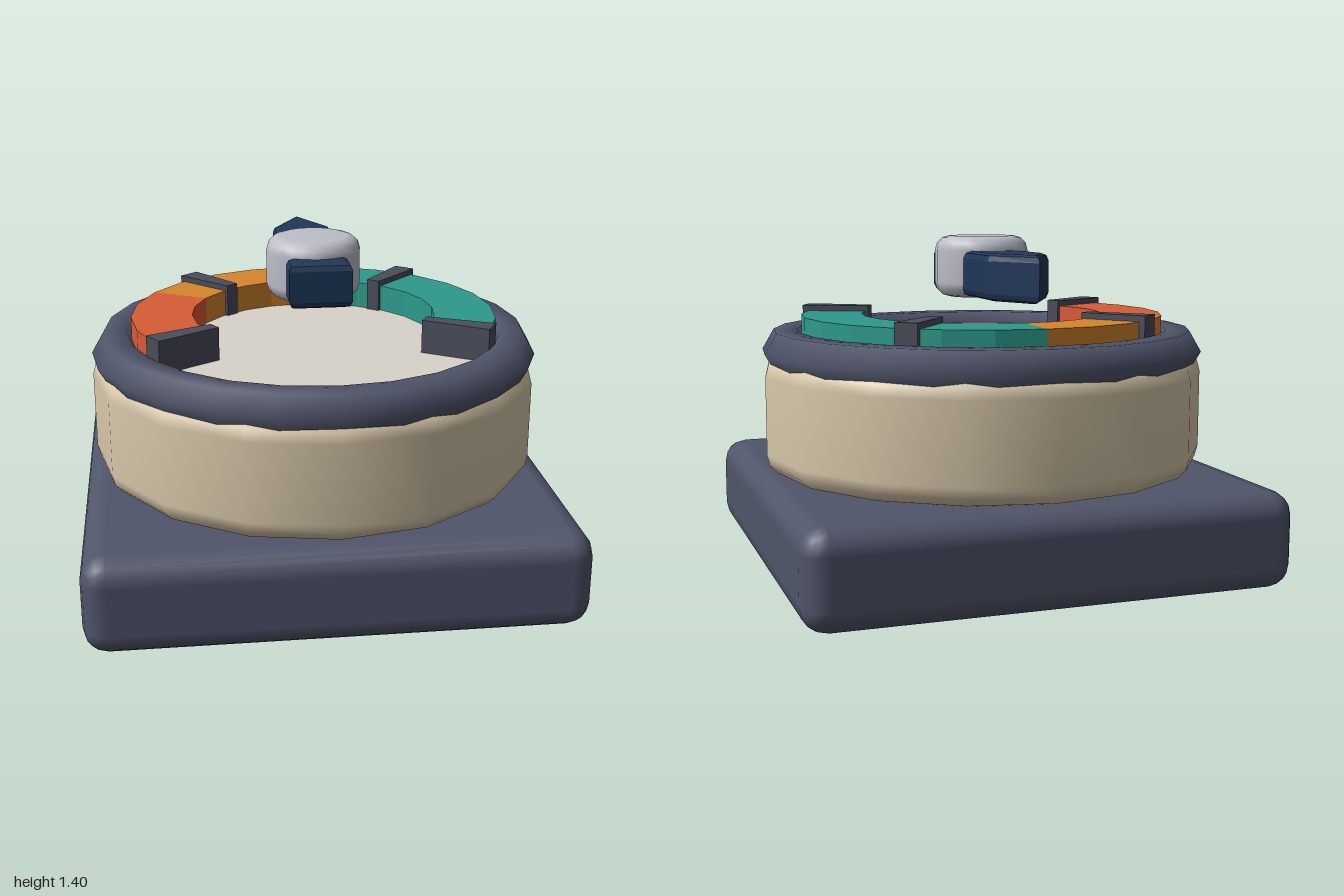
import * as THREE from 'three';
import { RoundedBoxGeometry } from 'three/addons/geometries/RoundedBoxGeometry.js';

const material = (name, color) => {
  const m = new THREE.MeshStandardMaterial({ color });
  m.name = name;
  return m;
};

// Lathe solid with rounded top and bottom rims
function roundedDisc(radius, y0, y1, bevel, sides) {
  const pts = [new THREE.Vector2(0.0001, y0)];
  for (const [cy, start] of [[y0 + bevel, -90], [y1 - bevel, 0]]) {
    for (let i = 0; i <= 3; i++) {
      const a = THREE.MathUtils.degToRad(start + i * 30);
      pts.push(new THREE.Vector2(radius - bevel + bevel * Math.cos(a), cy + bevel * Math.sin(a)));
    }
  }
  pts.push(new THREE.Vector2(0.0001, y1));
  return new THREE.LatheGeometry(pts, sides);
}

// Raised ring sector; angles in degrees, clockwise from the back (-z)
function sector(inner, outer, from, to, y0, y1, steps) {
  const point = (r, t) => {
    const a = THREE.MathUtils.degToRad(from + (to - from) * t);
    return new THREE.Vector2(r * Math.sin(a), r * Math.cos(a));
  };
  const pts = [];
  for (let i = 0; i <= steps; i++) pts.push(point(outer, i / steps));
  for (let i = steps; i >= 0; i--) pts.push(point(inner, i / steps));
  const g = new THREE.ExtrudeGeometry(new THREE.Shape(pts), { depth: y1 - y0, bevelEnabled: false });
  return g.rotateX(-Math.PI / 2).translate(0, y0, 0);
}

export function createModel() {
  const slate = material('slate', 0x50556a);
  const cream = material('cream', 0xd8c8aa);
  const ivory = material('ivory', 0xd8d4ca);
  const charcoal = material('charcoal', 0x4a4d5b);
  const teal = material('teal', 0x2d9a8a);
  const orange = material('orange', 0xd6862c);
  const red = material('red', 0xd75c36);
  const navy = material('navy', 0x1f3757);
  const silver = material('silver', 0xbcbec9);

  const model = new THREE.Group();
  model.name = 'dialGauge';
  const add = (name, geometry, mat, y = 0) => {
    const mesh = new THREE.Mesh(geometry, mat);
    mesh.name = name;
    mesh.position.y = y;
    model.add(mesh);
    return mesh;
  };

  // Square foot, round drum and face
  add('base', new RoundedBoxGeometry(2, 0.4, 2, 2, 0.1), slate, 0.2);
  add('drum', roundedDisc(0.95, 0.4, 0.91, 0.09, 16), cream);
  add('dialFace', new THREE.CylinderGeometry(0.8, 0.8, 0.06, 24), ivory, 0.92);

  // Six-sided bezel ring
  add('bezel', new THREE.TorusGeometry(0.85, 0.1, 6, 24).rotateX(Math.PI / 2), slate, 0.915);

  // Coloured scale bands
  add('greenBand', sector(0.52, 0.78, 0, 120, 0.95, 1.065, 8), teal);
  add('orangeBand', sector(0.52, 0.78, -60, 0, 0.95, 1.065, 4), orange);
  add('redBand', sector(0.52, 0.78, -120, -60, 0.95, 1.065, 4), red);

  // Tapered tick marks
  for (const a of [-120, -40, 40, 120]) {
    add('tickMark', sector(0.505, 0.8, a - 3.5, a + 3.5, 0.95, 1.09, 1), charcoal);
  }

  // Pointer with bevelled edges, tip towards the back
  const bevel = 0.03;
  const outline = new THREE.Shape([
    [-0.1, -0.25], [0.1, -0.25], [0.1, 0.453], [0, 0.653], [-0.1, 0.453],
  ].map(([x, y]) => new THREE.Vector2(x, y)));
  const pointer = new THREE.ExtrudeGeometry(outline, {
    depth: 0.13, bevelSize: bevel, bevelThickness: bevel, bevelSegments: 2,
  });
  add('pointer', pointer.rotateX(-Math.PI / 2), navy, 1.15 + bevel);

  // Hub cap over the pointer
  add('hub', roundedDisc(0.2, 1.14, 1.4, 0.06, 20), silver);

  return model;
}
